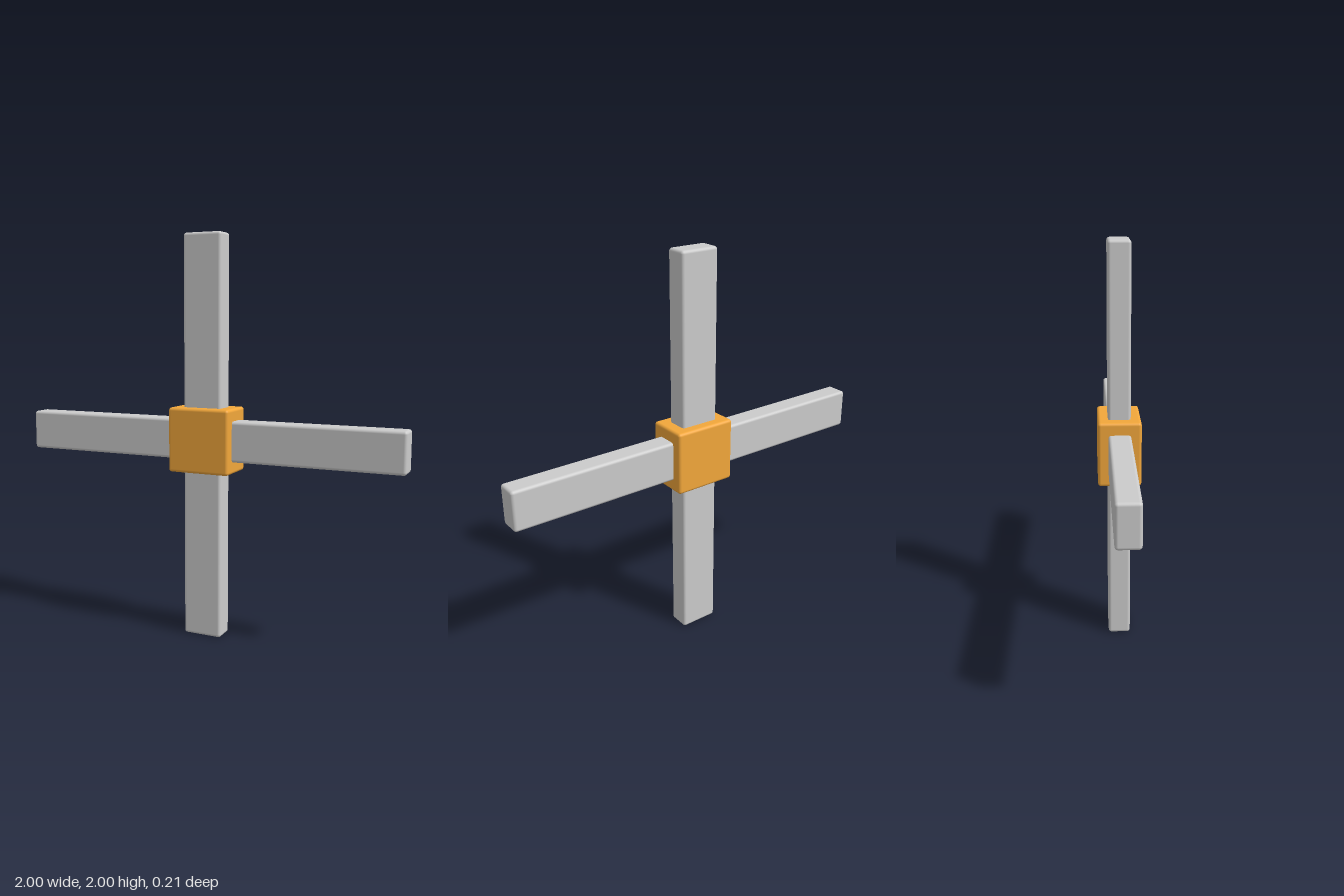
import * as THREE from 'three';
import { RoundedBoxGeometry } from 'three/addons/geometries/RoundedBoxGeometry.js';

export function createModel() {
  const model = new THREE.Group();
  model.name = 'crossShape';
  const grey = new THREE.MeshStandardMaterial({ color: 0xcccccc });
  const orange = new THREE.MeshStandardMaterial({ color: 0xf2a73b });

  // Block with softly rounded edges, centred on the crossing point
  function block(name, w, h, d, material) {
    const mesh = new THREE.Mesh(new RoundedBoxGeometry(w, h, d, 3, 0.015), material);
    mesh.name = name;
    mesh.position.y = 1;
    model.add(mesh);
  }

  // Two crossing bars
  block('verticalBar', 0.2, 2, 0.11, grey);
  block('horizontalBar', 2, 0.2, 0.11, grey);

  // Thicker hub around the crossing
  block('centreHub', 0.32, 0.32, 0.21, orange);

  return model;
}
